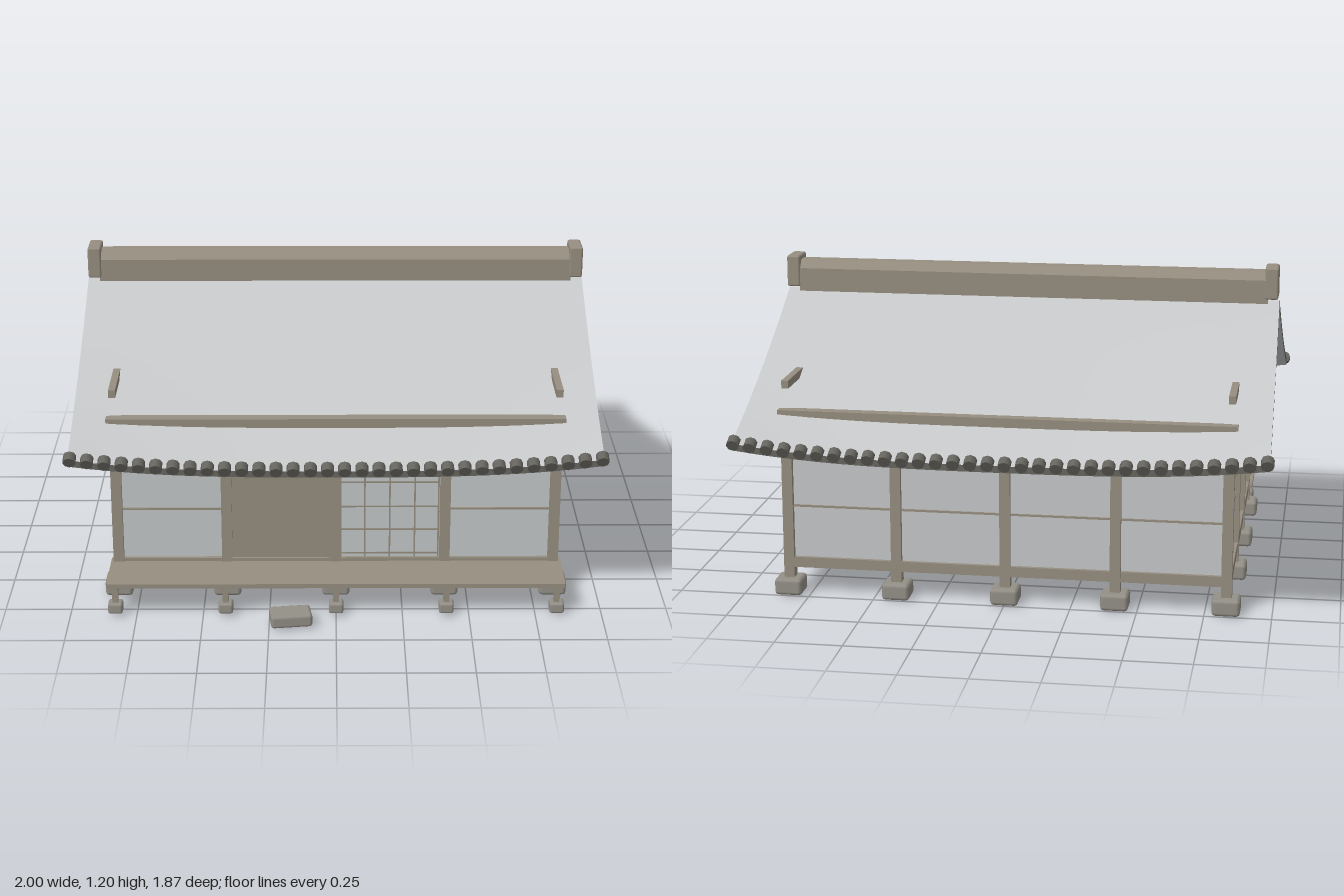
import * as THREE from 'three';
import { RoundedBoxGeometry } from 'three/addons/geometries/RoundedBoxGeometry.js';

const mat = (name, color) => {
  const m = new THREE.MeshStandardMaterial({ color });
  m.name = name;
  return m;
};

export function createModel() {
  const model = new THREE.Group();
  model.name = 'house';
  const wood = mat('wood', 0x968e80);
  const plaster = mat('plaster', 0xc4c7c9);
  const roofGrey = mat('roof', 0xc5c7c9);
  const tileDark = mat('dark tile', 0x66655f);
  const stone = mat('stone', 0x949088);

  const add = (name, geo, material, x = 0, y = 0, z = 0, parent = model) => {
    const m = new THREE.Mesh(geo, material);
    m.name = name;
    m.position.set(x, y, z);
    parent.add(m);
    return m;
  };
  // Box given by its limits on each axis
  const box = (name, material, x0, x1, y0, y1, z0, z1) =>
    add(name, new THREE.BoxGeometry(x1 - x0, y1 - y0, z1 - z0), material,
      (x0 + x1) / 2, (y0 + y1) / 2, (z0 + z1) / 2);

  const xs = [-0.83, -0.415, 0, 0.415, 0.83];
  const zs = [0.59, 0.16, -0.27, -0.7];
  const ridgeZ = -0.055;

  // Posts on chamfered footing stones around the outline
  const footing = new RoundedBoxGeometry(0.105, 0.065, 0.105, 1, 0.014);
  xs.forEach((x, i) => zs.forEach((z, j) => {
    if (i > 0 && i < 4 && j > 0 && j < 3) return;
    add('footingStone', footing, stone, x, 0.0375, z);
    box('post', wood, x - 0.02, x + 0.02, 0.06, 0.7, z - 0.02, z + 0.02);
  }));

  // Floor and walls
  box('floor', wood, -0.83, 0.83, 0.115, 0.135, -0.7, 0.59);
  for (const z of [0.585, -0.695]) box('longWall', plaster, -0.83, 0.83, 0.13, 0.7, z - 0.006, z + 0.006);
  for (const x of [-0.825, 0.825]) box('sideWall', plaster, x - 0.006, x + 0.006, 0.13, 0.7, -0.7, 0.59);

  // Horizontal beams: sill, lintel and wall plate
  for (const [y0, y1, w, over] of [[0.11, 0.15, 0.016, 0], [0.565, 0.595, 0.016, 0], [0.68, 0.725, 0.022, 0.03]]) {
    for (const z of [0.59, -0.7]) box('longBeam', wood, -0.83 - over, 0.83 + over, y0, y1, z - w, z + w);
    for (const x of [-0.83, 0.83]) box('sideBeam', wood, x - w, x + w, y0, y1, -0.7, 0.59);
  }

  // Thin middle rails on the plain wall bays
  for (const [a, b] of [[-0.81, -0.435], [0.435, 0.81]]) box('wallRail', wood, a, b, 0.347, 0.355, 0.585, 0.597);
  box('backRail', wood, -0.82, 0.82, 0.347, 0.355, -0.707, -0.695);

  // Sliding door and lattice screen at the front
  box('slidingDoor', wood, -0.4, -0.025, 0.15, 0.565, 0.585, 0.598);
  for (const x of [-0.405, -0.025]) box('doorStile', wood, x - 0.01, x + 0.01, 0.15, 0.565, 0.585, 0.603);
  for (const x of [0.018, 0.11, 0.205, 0.3, 0.39])
    box('screenBar', wood, x - 0.003, x + 0.003, 0.15, 0.565, 0.588, 0.595);
  for (const y of [0.165, 0.265, 0.36, 0.46])
    box('screenCrossBar', wood, 0.018, 0.39, y - 0.003, y + 0.003, 0.588, 0.595);

  // Side walls: middle rail, small window bars, gable, king post, tie beam
  for (const s of [-1, 1]) {
    const side = (name, y0, y1, z0, z1, w, xc = 0.83) =>
      box(name, wood, s * xc - w, s * xc + w, y0, y1, z0, z1);
    side('sideRail', 0.347, 0.355, -0.69, 0.58, 0.006);
    side('windowRail', 0.472, 0.482, -0.59, -0.38, 0.012);
    for (const z of [-0.512, -0.548]) side('windowBar', 0.385, 0.475, z - 0.005, z + 0.005, 0.01);
    side('kingPost', 0.72, 1.04, ridgeZ - 0.013, ridgeZ + 0.013, 0.014);
    side('tieBeam', 0.802, 0.832, -0.695, 0.59, 0.013, 0.835);

    const tri = new THREE.Shape([[-0.645, 0.7], [0.645, 0.7], [0, 1.058]].map(p => new THREE.Vector2(...p)));
    const gable = new THREE.ExtrudeGeometry(tri, { depth: 0.014, bevelEnabled: false });
    gable.translate(0, 0, -0.007).rotateY(Math.PI / 2);
    add('gableWall', gable, plaster, s * 0.82, 0, ridgeZ);
  }

  // Veranda on short legs, and the step stone
  box('veranda', wood, -0.86, 0.86, 0.12, 0.137, 0.575, 0.805);
  const smallStone = new RoundedBoxGeometry(0.055, 0.042, 0.055, 1, 0.009);
  for (const x of xs) {
    box('verandaLeg', wood, x - 0.011, x + 0.011, 0.05, 0.122, 0.774, 0.796);
    add('legStone', smallStone, stone, x, 0.036, 0.785);
  }
  add('stepStone', new RoundedBoxGeometry(0.155, 0.05, 0.098, 1, 0.012), stone, -0.17, 0.038, 0.875).rotation.y = 0.13;

  // Roof slope: t runs from ridge (0) to eave (1), corners lift towards the eave
  const roofY = (t, x) => 1.065 - 0.47 * t - 0.05 * t * (1 - t)
    + 0.045 * t * t * Math.abs(x) ** 3;
  const run = 0.855;
  const slopeGeo = new THREE.BoxGeometry(2, 0.025, 1, 24, 1, 12);
  const p = slopeGeo.attributes.position;
  for (let i = 0; i < p.count; i++) {
    const t = p.getZ(i) + 0.5, x = p.getX(i);
    p.setXYZ(i, x * (0.975 + 0.01 * t), roofY(t, x) + p.getY(i) - 0.0125, t * run);
  }
  slopeGeo.computeVertexNormals();
  const capGeo = new THREE.CylinderGeometry(0.024, 0.024, 0.036, 8).rotateX(Math.PI / 2 + 0.45);
  for (const turn of [0, Math.PI]) {
    const half = new THREE.Group();
    half.name = turn ? 'backRoof' : 'frontRoof';
    half.position.z = ridgeZ;
    half.rotation.y = turn;
    model.add(half);
    add('roofSlope', slopeGeo, [tileDark, tileDark, roofGrey, roofGrey, tileDark, tileDark], 0, 0, 0, half);
    for (let i = 0; i < 32; i++) {
      const x = -0.976 + i * 1.952 / 31;
      add('eaveTile', capGeo, tileDark, x, roofY(1, x) + 0.008, run + 0.002, half);
    }
  }

  // Ridge beam with chamfered top and end blocks
  const profile = new THREE.Shape([[-0.05, 1.08], [0.05, 1.08], [0.05, 1.15], [0.025, 1.182], [-0.025, 1.182], [-0.05, 1.15]]
    .map(q => new THREE.Vector2(...q)));
  const ridge = new THREE.ExtrudeGeometry(profile, { depth: 1.88, bevelEnabled: false });
  ridge.translate(0, 0, -0.94).rotateY(Math.PI / 2);
  add('ridgeBeam', ridge, wood, 0, 0, ridgeZ);
  box('ridgeBase', wood, -0.93, 0.93, 1.04, 1.085, ridgeZ - 0.02, ridgeZ + 0.02);
  for (const s of [-1, 1])
    add('ridgeEnd', new RoundedBoxGeometry(0.052, 0.124, 0.112, 1, 0.008), wood, s * 0.945, 1.138, ridgeZ);

  return model;
}
